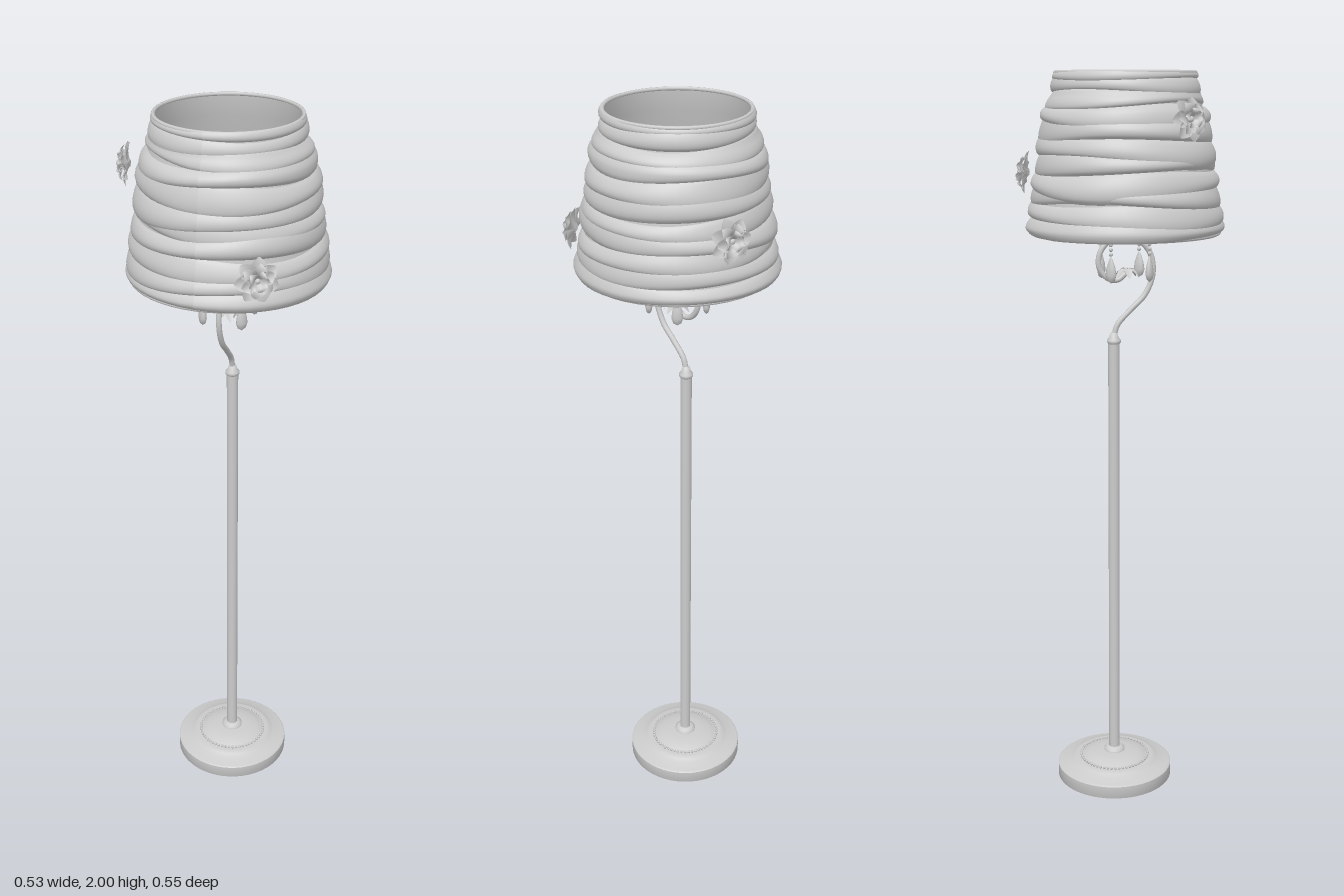
import * as THREE from 'three';

const grey = new THREE.MeshStandardMaterial({ color: 0xcccccc, side: THREE.DoubleSide });
const POLE_Z = -0.032;
const v2 = (p) => p.map(([x, y]) => new THREE.Vector2(x, y));
const v3 = (p) => p.map((a) => new THREE.Vector3(...a));

function add(parent, name, geometry, x = 0, y = 0, z = 0) {
  const m = new THREE.Mesh(geometry, grey);
  m.name = name;
  m.position.set(x, y, z);
  parent.add(m);
  return m;
}

const lathe = (points, sides = 40) => new THREE.LatheGeometry(v2(points), sides);
const tube = (points, r, n = 16, sides = 8) =>
  new THREE.TubeGeometry(new THREE.CatmullRomCurve3(v3(points)), n, r, sides);

// Radius of the plain shade cone at a given height
const SHADE = [[1.58, 0.249], [1.6, 0.253], [1.7, 0.234], [1.8, 0.222], [1.9, 0.205], [1.94, 0.186], [2, 0.181]];
function shadeRadius(y) {
  for (let i = 1; i < SHADE.length; i++) {
    const [y0, r0] = SHADE[i - 1], [y1, r1] = SHADE[i];
    if (y <= y1) return THREE.MathUtils.mapLinear(Math.max(y, y0), y0, y1, r0, r1);
  }
  return 0.181;
}

// One tilted, bulging strip of cloth wrapped around the shade
function clothBand(yMid, height, bulge, tilt, phase) {
  const g = new THREE.CylinderGeometry(1, 1, 1, 48, 10, true);
  const p = g.attributes.position;
  for (let i = 0; i < p.count; i++) {
    const a = Math.atan2(p.getZ(i), p.getX(i));
    const t = p.getY(i) + 0.5;
    const h = height * (1 + 0.25 * Math.sin(2 * a + phase));
    const wave = tilt * Math.sin(a + phase) + 0.25 * tilt * Math.sin(3 * a - phase);
    const y = THREE.MathUtils.clamp(yMid + wave + (t - 0.5) * h, 1.58, 2);
    const puff = bulge * Math.pow(Math.max(0, Math.sin(Math.PI * t)), 0.6) * (1.25 - 0.5 * t);
    const r = shadeRadius(y) + 0.001 + puff * (1 + 0.2 * Math.sin(2 * a - phase));
    p.setXYZ(i, Math.cos(a) * r, y, Math.sin(a) * r);
  }
  g.computeVertexNormals();
  return g;
}

// Petal running along +z, arching by rise(t), with edges turned up by cup
function petal(length, width, rise, cup) {
  const g = new THREE.PlaneGeometry(1, 1, 4, 7);
  const p = g.attributes.position;
  for (let i = 0; i < p.count; i++) {
    const u = p.getX(i), t = p.getY(i) + 0.5;
    const w = width * Math.pow(Math.sin(Math.PI * (0.07 + 0.91 * Math.pow(t, 1.2))), 0.75);
    p.setXYZ(i, u * w, rise(t) + cup * 4 * u * u * Math.sin(Math.PI * t), t * length);
  }
  g.computeVertexNormals();
  return g;
}

// Cloth blossom facing +y, with three rings of petals
function blossom() {
  const flower = new THREE.Group();
  flower.name = 'shadeFlower';
  const rings = [[7, 0.056, 0.042, 0.01], [6, 0.043, 0.034, 0.02], [5, 0.027, 0.024, 0.025]];
  rings.forEach(([count, length, width, lift], k) => {
    const g = petal(length, width, (t) => lift * Math.sin(t * 2.2) + k * 0.002, 0.007);
    for (let i = 0; i < count; i++) {
      const m = add(flower, 'flowerPetal', g);
      m.rotation.y = (i / count) * Math.PI * 2 + k * 0.4;
    }
  });
  add(flower, 'flowerCentre', new THREE.SphereGeometry(0.009, 12, 8), 0, 0.012, 0);
  return flower;
}

function buildBase(root) {
  const base = new THREE.Group();
  base.name = 'base';
  base.position.z = POLE_Z;
  // Hollow stepped foot
  add(base, 'footRim', lathe([[0.155, 0], [0.165, 0], [0.165, 0.035]], 48));
  add(base, 'footTop', lathe([[0.165, 0.035], [0.16, 0.039], [0.13, 0.044], [0.122, 0.053], [0.108, 0.057],
    [0.1, 0.055], [0.088, 0.058], [0.075, 0.067], [0.045, 0.071], [0.016, 0.072]], 48));
  add(base, 'footInside', lathe([[0.155, 0], [0.155, 0.03], [0.115, 0.038], [0.085, 0.052], [0, 0.06]], 48));
  add(base, 'footNut', new THREE.CylinderGeometry(0.016, 0.016, 0.02, 6), 0, 0.05, 0);
  // Beaded ring
  const bead = new THREE.SphereGeometry(0.0042, 6, 4);
  for (let i = 0; i < 56; i++) {
    const a = (i / 56) * Math.PI * 2;
    add(base, 'footBead', bead, 0.097 * Math.sin(a), 0.058, 0.097 * Math.cos(a));
  }
  // Collar, pole and cap
  add(base, 'poleCollar', lathe([[0.03, 0.07], [0.03, 0.076], [0.023, 0.082], [0.016, 0.084]], 24));
  add(base, 'pole', new THREE.CylinderGeometry(0.0155, 0.0155, 1.22, 20), 0, 0.68, 0);
  add(base, 'poleCap', lathe([[0.0155, 1.284], [0.019, 1.288], [0.019, 1.294], [0.013, 1.302], [0.009, 1.314], [0, 1.316]], 20));
  root.add(base);
}

function buildScroll(root) {
  // S-curved neck that ends in a curl
  add(root, 'scrollNeck', tube([[0, 1.3, POLE_Z], [0, 1.335, -0.022], [0, 1.375, 0.015], [0, 1.415, 0.055],
    [0, 1.47, 0.077], [0, 1.525, 0.07], [0, 1.562, 0.038], [0, 1.573, 0], [0, 1.564, -0.04],
    [0, 1.535, -0.068], [0, 1.495, -0.073], [0, 1.463, -0.05], [0, 1.457, -0.022], [0, 1.473, 0]], 0.0075, 70, 10));
  // Small leaf cluster at the end of the curl
  const leaves = new THREE.Group();
  leaves.name = 'scrollLeaves';
  leaves.position.set(0, 1.488, 0.004);
  const g = petal(0.034, 0.022, (t) => -0.024 * t * t, 0.003);
  for (let i = 0; i < 6; i++) add(leaves, 'scrollLeaf', g).rotation.y = (i / 6) * Math.PI * 2 + Math.PI / 6;
  add(leaves, 'scrollBud', new THREE.SphereGeometry(0.009, 12, 8), 0, -0.008, 0);
  root.add(leaves);
}

function buildHolder(root) {
  const holder = new THREE.Group();
  holder.name = 'lampHolder';
  add(holder, 'socket', lathe([[0, 1.565], [0.014, 1.57], [0.02, 1.585], [0.014, 1.6], [0.017, 1.615], [0.017, 1.705],
    [0.027, 1.71], [0.027, 1.722], [0.018, 1.738], [0.007, 1.752], [0, 1.756]], 24));
  // Eight drooping petals
  const leaf = petal(0.06, 0.03, (t) => 0.022 * Math.sin(t * 2.6) - 0.012 * t * t, 0.004);
  for (let i = 0; i < 8; i++) {
    const a = (i / 8) * Math.PI * 2;
    add(holder, 'holderPetal', leaf, 0.014 * Math.sin(a), 1.61, 0.014 * Math.cos(a)).rotation.y = a;
  }
  // Four hooks carrying bead strings and glass drops
  const hook = tube([[0, 1.59, 0.01], [0, 1.605, 0.035], [0, 1.613, 0.058], [0, 1.602, 0.075], [0, 1.587, 0.075]], 0.003);
  const bead = new THREE.SphereGeometry(0.0055, 8, 6);
  const drop = lathe([[0, -0.035], [0.011, -0.028], [0.016, -0.014], [0.013, 0.006], [0.005, 0.028], [0, 0.036]], 10);
  for (let i = 0; i < 4; i++) {
    const pendant = new THREE.Group();
    pendant.name = 'pendant';
    add(pendant, 'pendantHook', hook);
    for (let k = 0; k < 5; k++) add(pendant, 'pendantBead', bead, 0, 1.582 - k * 0.0125, 0.075);
    add(pendant, 'pendantDrop', drop, 0, 1.491, 0.075).scale.z = 0.6;
    pendant.rotation.y = Math.PI / 4 + (i * Math.PI) / 2;
    holder.add(pendant);
  }
  // Three arms reaching out to the shade
  for (const [x, z] of [[-0.228, 0.036], [0.078, -0.216], [0.148, 0.176]]) {
    add(holder, 'shadeArm', tube([[0, 1.715, 0], [x / 2, 1.716, z / 2], [x, 1.718, z]], 0.0035, 4, 6));
  }
  root.add(holder);
}

function buildShade(root) {
  const shade = new THREE.Group();
  shade.name = 'lampshade';
  add(shade, 'shadeLining', lathe(SHADE.map(([y, r]) => [r, y]), 48));
  // Wrapped cloth: middle height, strip height, bulge, tilt, phase
  const bands = [
    [1.605, 0.05, 0.011, 0.002, 0.5], [1.645, 0.055, 0.011, 0.008, 2.1], [1.685, 0.055, 0.012, 0.011, 3.9],
    [1.725, 0.06, 0.015, 0.013, 0.9], [1.765, 0.05, 0.011, 0.011, 5.1], [1.805, 0.06, 0.012, 0.012, 2.8],
    [1.85, 0.065, 0.013, 0.009, 4.4], [1.893, 0.055, 0.013, 0.009, 1.4], [1.93, 0.045, 0.012, 0.008, 5.6],
    [1.962, 0.04, 0.009, 0.005, 3.2], [1.988, 0.024, 0.007, 0.002, 0.2],
  ];
  bands.forEach((b) => add(shade, 'clothBand', clothBand(...b)));
  // Rolled rims
  for (const [r, y] of [[0.25, 1.586], [0.182, 1.995]]) {
    add(shade, 'shadeRim', new THREE.TorusGeometry(r, 0.005, 8, 48), 0, y, 0).rotation.x = Math.PI / 2;
  }
  // Blossoms pinned to the cloth
  for (const [x, y, z] of [[0.143, 1.67, 0.222], [-0.216, 1.88, 0.102], [0.068, 1.74, -0.244]]) {
    const f = blossom();
    f.position.set(x, y, z);
    f.quaternion.setFromUnitVectors(new THREE.Vector3(0, 1, 0), new THREE.Vector3(x, 0.03, z).normalize());
    shade.add(f);
  }
  root.add(shade);
}

export function createModel() {
  const root = new THREE.Group();
  root.name = 'floorLamp';
  buildBase(root);
  buildScroll(root);
  buildHolder(root);
  buildShade(root);
  return root;
}
